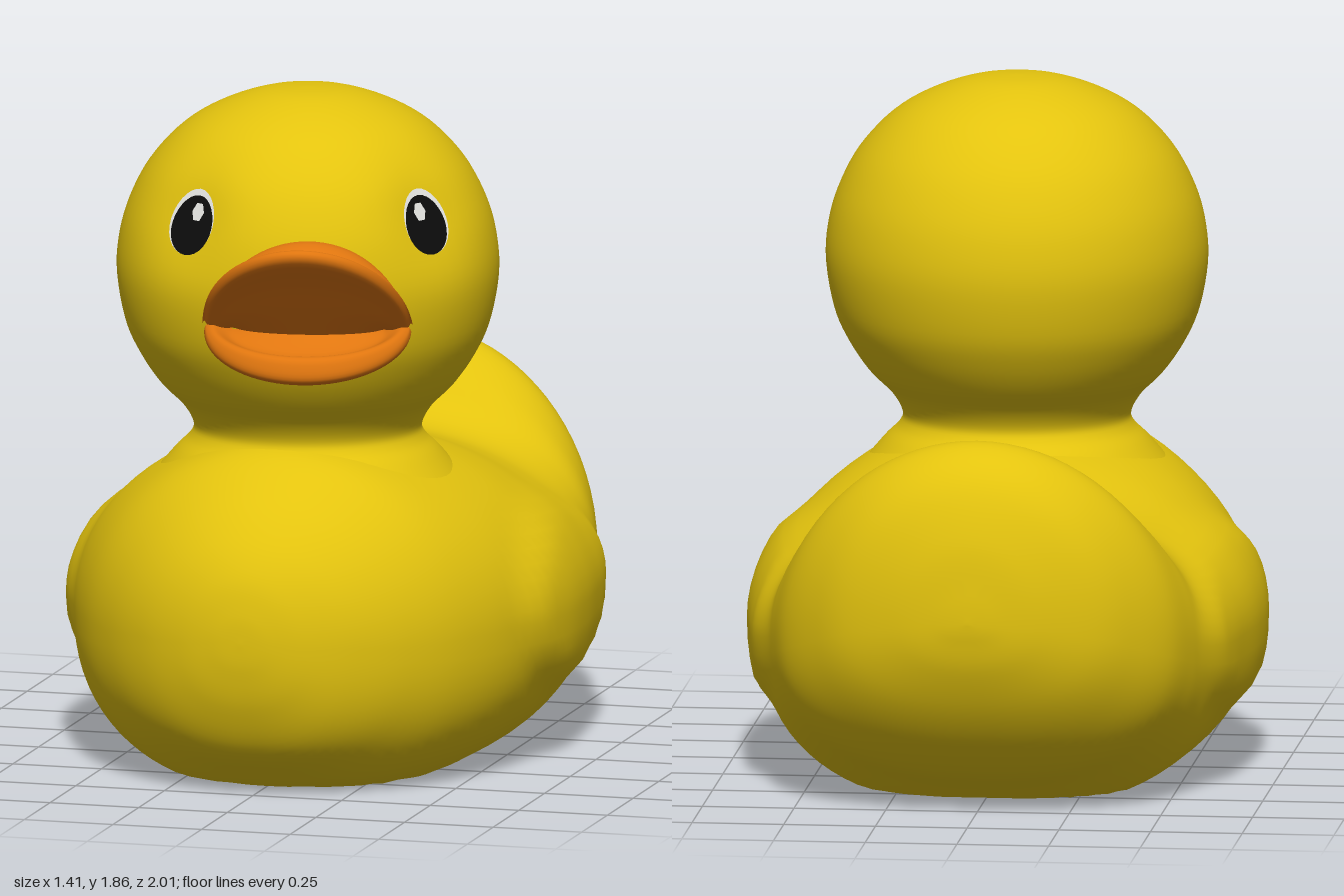
import * as THREE from 'three';
import { mergeVertices } from 'three/addons/utils/BufferGeometryUtils.js';

const paint = (name, color) => {
  const m = new THREE.MeshStandardMaterial({ color });
  m.name = name;
  return m;
};

// Smooth interpolation through a list of equally long rows, t from 0 to 1
function along(rows, t) {
  const f = t * (rows.length - 1);
  const i = Math.min(Math.floor(f), rows.length - 2);
  const k = f - i;
  const at = (j) => rows[Math.max(0, Math.min(rows.length - 1, j))];
  return rows[i].map((p1, c) => {
    const p0 = at(i - 1)[c], p2 = at(i + 1)[c], p3 = at(i + 2)[c];
    return p1 + 0.5 * k * (p2 - p0 + k * (2 * p0 - 5 * p1 + 4 * p2 - p3 + k * (3 * (p1 - p2) + p3 - p0)));
  });
}

// Smooth surface from a rule point(u, v), both running 0 to 1
function surface(point, nu, nv, flip) {
  const pos = [], index = [];
  for (let i = 0; i <= nu; i++) for (let j = 0; j <= nv; j++) pos.push(...point(i / nu, j / nv));
  for (let i = 0; i < nu; i++) for (let j = 0; j < nv; j++) {
    const a = i * (nv + 1) + j, b = a + 1, c = a + nv + 1, d = c + 1;
    if (flip) index.push(a, c, b, b, c, d);
    else index.push(a, b, c, b, d, c);
  }
  let g = new THREE.BufferGeometry();
  g.setAttribute('position', new THREE.Float32BufferAttribute(pos, 3));
  g.setIndex(index);
  g = mergeVertices(g, 1e-5);
  g.computeVertexNormals();
  return g;
}

// Body cross-sections from chest to tail: z, bottom, top, half width, middle height
const BODY = [
  [0.88, 0.44, 0.44, 0, 0.44], [0.875, 0.36, 0.52, 0.08, 0.44], [0.85, 0.25, 0.62, 0.18, 0.43],
  [0.79, 0.13, 0.72, 0.3, 0.43], [0.69, 0.05, 0.82, 0.42, 0.42], [0.54, -0.03, 0.91, 0.535, 0.42],
  [0.34, -0.06, 0.92, 0.625, 0.42], [0.1, -0.06, 0.91, 0.67, 0.42], [-0.1, -0.06, 0.88, 0.67, 0.42],
  [-0.3, -0.06, 0.83, 0.645, 0.42], [-0.42, -0.05, 0.82, 0.625, 0.42], [-0.52, -0.01, 0.86, 0.6, 0.43],
  [-0.62, 0.04, 0.95, 0.575, 0.45], [-0.74, 0.1, 1.02, 0.53, 0.48], [-0.84, 0.19, 1.0, 0.45, 0.51],
  [-0.92, 0.3, 0.92, 0.35, 0.54], [-0.975, 0.42, 0.78, 0.2, 0.56], [-0.995, 0.51, 0.64, 0.08, 0.56],
  [-1, 0.56, 0.56, 0, 0.56],
];

function bodyPoint(t, v) {
  const [z, low, high, w, mid] = along(BODY, t);
  const a = v * Math.PI * 2, c = Math.cos(a), s = Math.sin(a);
  const n = s > 0 ? 2 : 2.4;
  let x = w * Math.sign(c) * Math.abs(c) ** (2 / n);
  const y = Math.max(0, mid + (s > 0 ? high - mid : mid - low) * Math.sign(s) * Math.abs(s) ** (2 / n));
  // Folded wing swelling on each side
  const e = Math.hypot((z + 0.12) / 0.46, (y - 0.45) / 0.27);
  x += Math.sign(x) * 0.03 * (1 - THREE.MathUtils.smoothstep(e, 0.72, 1.05));
  return [x, y, z];
}

// Neck and head profile: radius, height
const HEAD = [
  [0.42, 0.79], [0.36, 0.86], [0.32, 0.9], [0.31, 0.935], [0.34, 0.99], [0.4, 1.05], [0.455, 1.13],
  [0.495, 1.22], [0.518, 1.35], [0.51, 1.46], [0.48, 1.56], [0.425, 1.66], [0.34, 1.75], [0.24, 1.81],
  [0.12, 1.85], [0, 1.86],
];
const HEAD_Z = 0.215, TURN = 0.29, EYE_ANGLE = 0.755, EYE_Y = 1.55;

function headPoint(t, angle, lift = 0) {
  let [r, y] = along(HEAD, t);
  // Shallow eye sockets
  for (const side of [-1, 1]) {
    const d = Math.atan2(Math.sin(angle - TURN - side * EYE_ANGLE), Math.cos(angle - TURN - side * EYE_ANGLE));
    r -= 0.028 * Math.exp(-((d / 0.26) ** 2) - ((y - EYE_Y) / 0.13) ** 2);
  }
  r += lift;
  return [r * Math.sin(angle), y, HEAD_Z + r * Math.cos(angle)];
}

// Place along the head profile at a given height
function headAt(y) {
  let lo = 0, hi = 1;
  for (let i = 0; i < 30; i++) {
    const m = (lo + hi) / 2;
    if (along(HEAD, m)[1] < y) lo = m; else hi = m;
  }
  return lo;
}

// Oval patch wrapped over the head; forward shifts it towards the beak
function eyePatch(side, rx, ry, forward, up, lift, sides = 28) {
  const g = new THREE.RingGeometry(0, 1, sides, 5);
  const p = g.attributes.position;
  for (let i = 0; i < p.count; i++) {
    const angle = TURN + side * EYE_ANGLE + (p.getX(i) * rx - side * forward) / 0.46;
    p.setXYZ(i, ...headPoint(headAt(EYE_Y + up + p.getY(i) * ry), angle, lift));
  }
  g.computeVertexNormals();
  return g;
}

// Bill arcs from head to lip and back into the mouth: half width, corner y, rise, corner z, reach
const UPPER = [
  [0.24, 1.29, 0.23, -0.1, 0.05], [0.265, 1.29, 0.235, -0.04, 0.07], [0.283, 1.295, 0.185, -0.01, 0.15],
  [0.285, 1.3, 0.22, 0, 0.23], [0.28, 1.305, 0.255, 0, 0.295], [0.27, 1.29, 0.235, 0, 0.305],
  [0.255, 1.285, 0.16, 0, 0.21], [0.23, 1.28, 0.08, -0.01, 0.14], [0.2, 1.28, 0, -0.05, 0.1],
];
const LOWER = [
  [0.24, 1.26, -0.12, -0.1, 0.05], [0.265, 1.27, -0.105, -0.05, 0.11], [0.28, 1.28, -0.115, -0.01, 0.17],
  [0.28, 1.285, -0.105, 0, 0.235], [0.275, 1.295, -0.075, 0, 0.24], [0.255, 1.3, -0.05, 0, 0.215],
  [0.22, 1.285, -0.05, -0.01, 0.14], [0.2, 1.28, 0, -0.05, 0.1],
];
const billPoint = (rows) => (t, v) => {
  const [w, y, rise, z, reach] = along(rows, t);
  const c = Math.cos(v * Math.PI), s = Math.sin(v * Math.PI);
  return [w * c, y + rise * s, z + reach * s];
};

export function createModel() {
  const yellow = paint('duck yellow', 0xe3c30e);
  const orange = paint('bill orange', 0xe0760f);
  const black = paint('eye black', 0x0c0c0c);
  const white = paint('eye white', 0xeeeeea);
  const duck = new THREE.Group();
  duck.name = 'rubberDuck';
  const add = (name, geometry, material, parent = duck) => {
    const mesh = new THREE.Mesh(geometry, material);
    mesh.name = name;
    parent.add(mesh);
    return mesh;
  };

  add('bodyAndTail', surface(bodyPoint, 110, 80, true), yellow);
  add('headAndNeck', surface((t, v) => headPoint(t, v * Math.PI * 2), 70, 72), yellow);

  // Bill, turned with the head
  const bill = new THREE.Group();
  bill.name = 'bill';
  bill.position.set(0.14, 0, 0.7);
  bill.rotation.y = 0.21;
  duck.add(bill);
  add('upperBill', surface(billPoint(UPPER), 40, 36), orange, bill);
  add('lowerBill', surface(billPoint(LOWER), 36, 36, true), orange, bill);

  // Eyes
  for (const [label, side] of [['left', 1], ['right', -1]]) {
    add(label + 'EyeWhite', eyePatch(side, 0.076, 0.086, 0, 0, 0.003), white);
    add(label + 'EyePupil', eyePatch(side, 0.07, 0.078, 0.005, -0.008, 0.006), black);
    add(label + 'EyeHighlight', eyePatch(side, 0.022, 0.026, 0.016, 0.028, 0.009, 6), white);
  }
  return duck;
}
